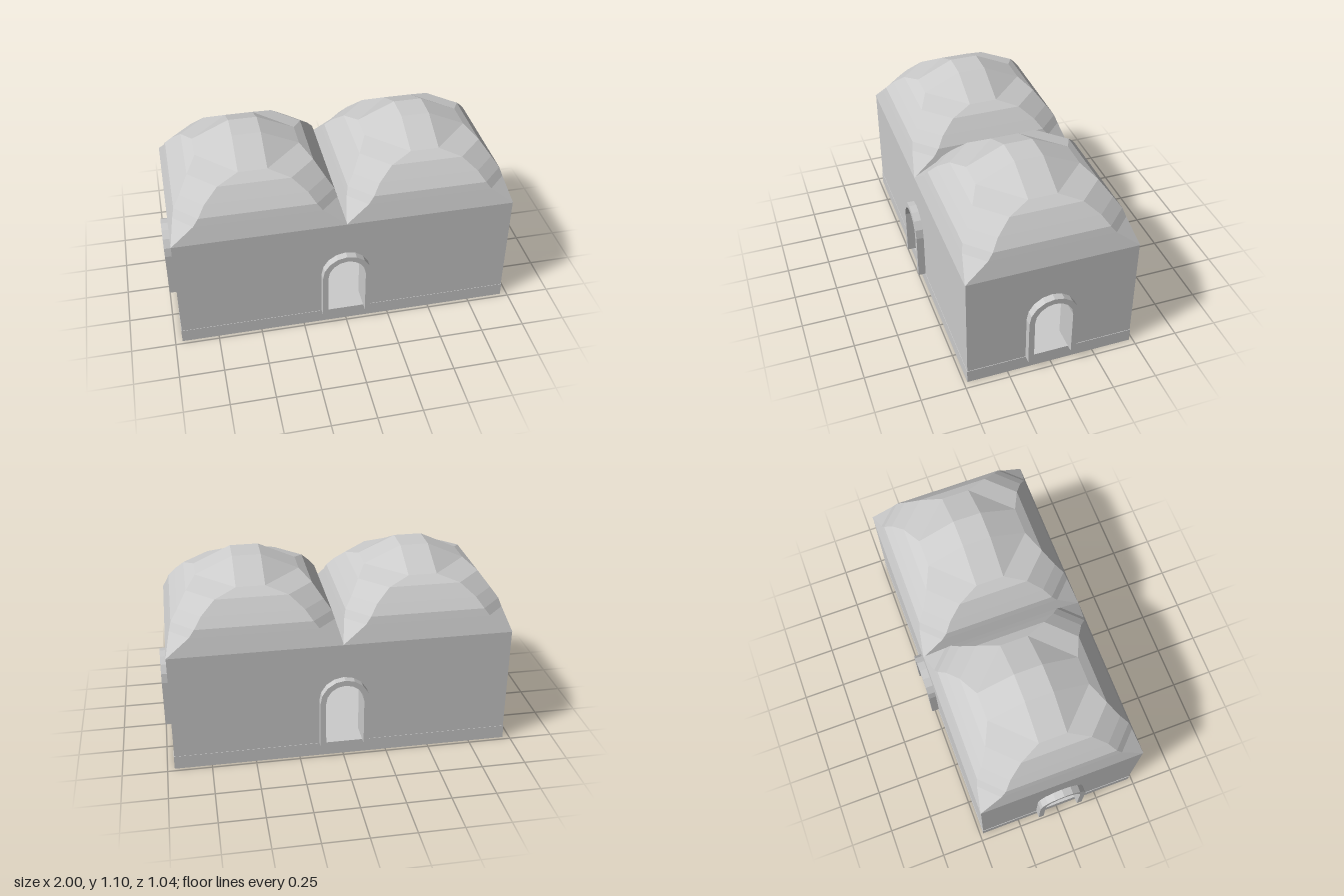
import * as THREE from 'three';

const grey = new THREE.MeshStandardMaterial({ color: 0xcccccc, flatShading: true, side: THREE.DoubleSide });
const HALF_X = 0.957, HALF_Z = 0.478, FLOOR = 0.08, EAVES = 0.7, WALL = 0.12;
const SPRING = 0.36, ARC_STEPS = 8;

function add(parent, name, geometry, x = 0, y = 0, z = 0) {
  const mesh = new THREE.Mesh(geometry, grey);
  mesh.name = name;
  mesh.position.set(x, y, z);
  parent.add(mesh);
  return mesh;
}

// Outline of a round-headed opening, from one foot over the arch to the other
function archPoints(radius, offset) {
  const pts = [new THREE.Vector2(offset + radius, FLOOR)];
  for (let i = 0; i <= ARC_STEPS; i++) {
    const a = (i / ARC_STEPS) * Math.PI;
    pts.push(new THREE.Vector2(offset + radius * Math.cos(a), SPRING + radius * Math.sin(a)));
  }
  pts.push(new THREE.Vector2(offset - radius, FLOOR));
  return pts;
}

// Wall with a doorway cut from its foot, plus a projecting door surround; outer face at local z = 0
function wallWithDoor(name, halfWidth, offset) {
  const group = new THREE.Group();
  group.name = name;
  const v = (x, y) => new THREE.Vector2(x, y);
  const wall = new THREE.Shape([
    v(-halfWidth, FLOOR), ...archPoints(0.108, offset).reverse(),
    v(halfWidth, FLOOR), v(halfWidth, EAVES), v(-halfWidth, EAVES),
  ]);
  add(group, 'wall', new THREE.ExtrudeGeometry(wall, { depth: WALL, bevelEnabled: false }), 0, 0, -WALL);
  const surround = new THREE.Shape([...archPoints(0.14, offset), ...archPoints(0.108, offset).reverse()]);
  add(group, 'doorSurround', new THREE.ExtrudeGeometry(surround, { depth: 0.043, bevelEnabled: false }));
  return group;
}

// Faceted dome: eight-sided rings that run from a square base to a small flat top
function domeGeometry() {
  // [half width of side panel, distance of panel from centre, height]
  const rings = [
    [0.48, 0.48, EAVES], [0.35, 0.452, 0.8], [0.32, 0.44, 0.84], [0.28, 0.4, 0.895],
    [0.2, 0.347, 0.965], [0.08, 0.29, 1.003], [0.08, 0.08, 1.1],
  ];
  const pos = [], index = [];
  for (const [w, d, y] of rings) {
    for (const [x, z] of [[-w, d], [w, d], [d, w], [d, -w], [w, -d], [-w, -d], [-d, -w], [-d, w]]) pos.push(x, y, z);
  }
  for (let r = 0; r < rings.length - 1; r++) {
    for (let i = 0; i < 8; i++) {
      const a = r * 8 + i, b = r * 8 + (i + 1) % 8, c = a + 8, d = b + 8;
      // Corner facets collapse to triangles at the base point and at the top
      if (!(i % 2 && r === 0)) index.push(a, b, d);
      if (!(i % 2 && r === rings.length - 2)) index.push(a, d, c);
      else index.push(a, b, c);
      if (i % 2 && r === 0) index.push();
    }
  }
  const top = (rings.length - 1) * 8;
  index.push(top, top + 2, top + 4, top, top + 4, top + 6);
  const geometry = new THREE.BufferGeometry();
  geometry.setAttribute('position', new THREE.Float32BufferAttribute(pos, 3));
  geometry.setIndex(index);
  const flat = geometry.toNonIndexed();
  flat.computeVertexNormals();
  return flat;
}

export function createModel() {
  const model = new THREE.Group();
  model.name = 'domedBuilding';

  add(model, 'plinth', new THREE.BoxGeometry(1.92, FLOOR, 0.96), 0, FLOOR / 2, 0);

  // Long walls, front and back
  const front = wallWithDoor('frontWall', HALF_X, -0.004);
  front.position.z = HALF_Z;
  const back = wallWithDoor('backWall', HALF_X, 0.004);
  back.position.z = -HALF_Z;
  back.rotation.y = Math.PI;

  // End walls fit between the long walls
  const left = wallWithDoor('leftWall', HALF_Z - WALL, -0.006);
  left.position.x = HALF_X;
  left.rotation.y = Math.PI / 2;
  const right = wallWithDoor('rightWall', HALF_Z - WALL, 0.006);
  right.position.x = -HALF_X;
  right.rotation.y = -Math.PI / 2;
  model.add(front, back, left, right);

  // Twin domes
  const dome = domeGeometry();
  add(model, 'leftDome', dome, 0.478);
  add(model, 'rightDome', dome, -0.478);
  return model;
}
